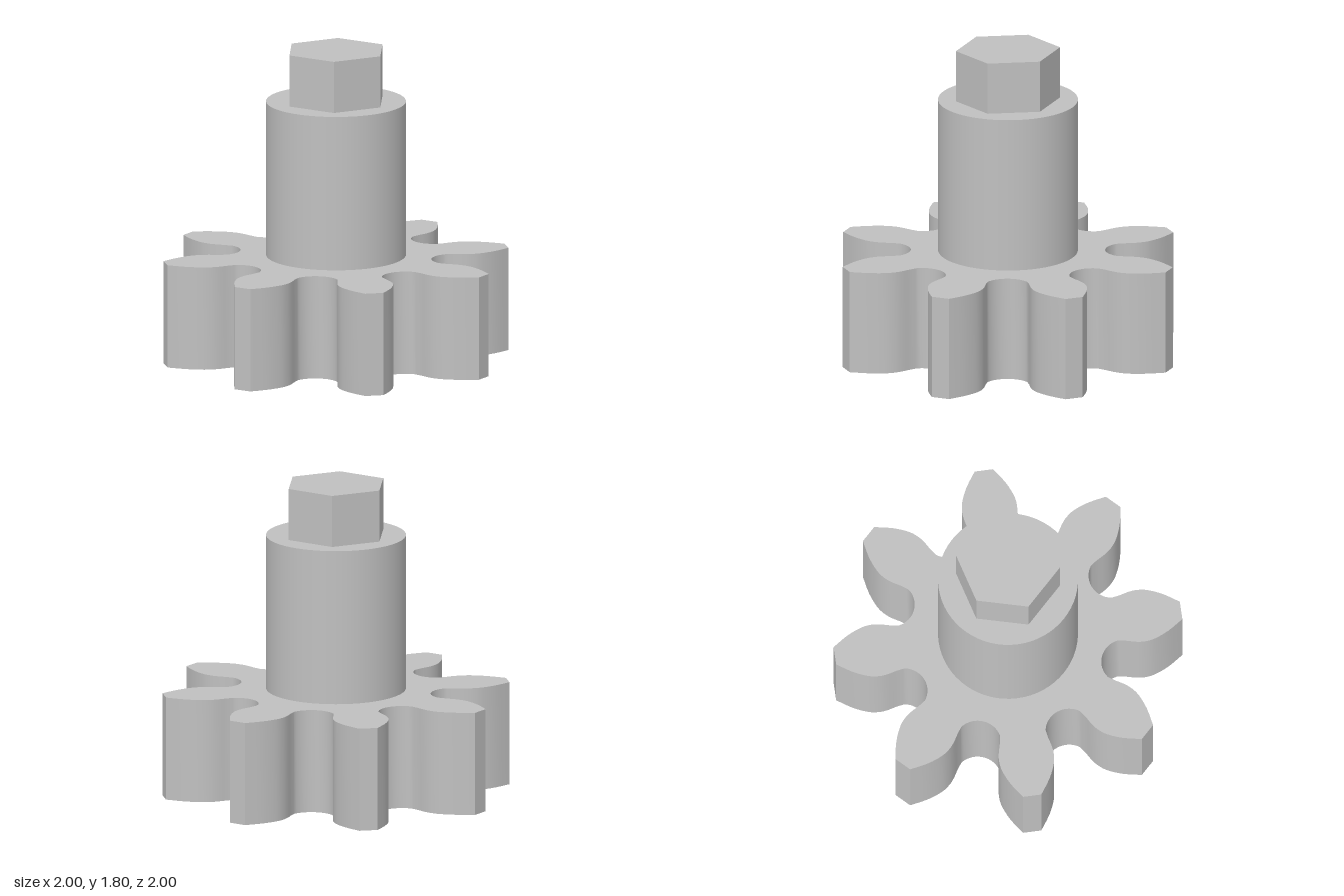
import * as THREE from 'three';
import { toCreasedNormals } from 'three/addons/utils/BufferGeometryUtils.js';

const TEETH = 8;

// Outline of the gear: one half tooth, mirrored and repeated around the centre
function gearShape() {
  const pitch = (Math.PI * 2) / TEETH;
  const half = [];

  // Round gap between teeth, from its deepest point to the tooth neck
  const cx = 0.69 * Math.sin(pitch / 2);
  const cy = 0.69 * Math.cos(pitch / 2);
  for (let i = 0; i <= 8; i++) {
    const a = THREE.MathUtils.degToRad(247.5 - (i / 8) * 57.5);
    half.push(new THREE.Vector2(cx + 0.135 * Math.cos(a), cy + 0.135 * Math.sin(a)));
  }

  // Bulging flank from the neck to the flat tip
  const flank = new THREE.SplineCurve([
    half[half.length - 1].clone(),
    new THREE.Vector2(0.139, 0.66),
    new THREE.Vector2(0.153, 0.715),
    new THREE.Vector2(0.158, 0.765),
    new THREE.Vector2(0.149, 0.825),
    new THREE.Vector2(0.112, 0.91),
    new THREE.Vector2(0.053, 0.9985),
  ]);
  half.push(...flank.getPoints(18).slice(1));

  const mirrored = half.slice(1).reverse().map((p) => new THREE.Vector2(-p.x, p.y));
  const tooth = [...half, ...mirrored];
  const outline = [];
  const origin = new THREE.Vector2();
  for (let k = 0; k < TEETH; k++) {
    for (const p of tooth) outline.push(p.clone().rotateAround(origin, k * pitch));
  }
  return new THREE.Shape(outline);
}

export function createModel() {
  const group = new THREE.Group();
  group.name = 'pinionGear';
  const metal = new THREE.MeshStandardMaterial({ color: 0xc0c0c0 });
  metal.name = 'grey metal';

  const add = (name, geometry, y) => {
    const mesh = new THREE.Mesh(geometry, metal);
    mesh.name = name;
    mesh.position.y = y;
    group.add(mesh);
  };

  // Toothed wheel
  const wheel = new THREE.ExtrudeGeometry(gearShape(), { depth: 0.6, bevelEnabled: false });
  wheel.rotateX(-Math.PI / 2);
  add('gearWheel', toCreasedNormals(wheel, 0.5), 0);

  // Round shaft
  add('shaft', new THREE.CylinderGeometry(0.4, 0.4, 0.9, 64), 1.05);

  // Hexagonal drive end, corners on the x axis
  const hex = new THREE.CylinderGeometry(0.3, 0.3, 0.3, 6).rotateY(Math.PI / 6);
  add('hexDrive', toCreasedNormals(hex, 0.5), 1.65);

  return group;
}
